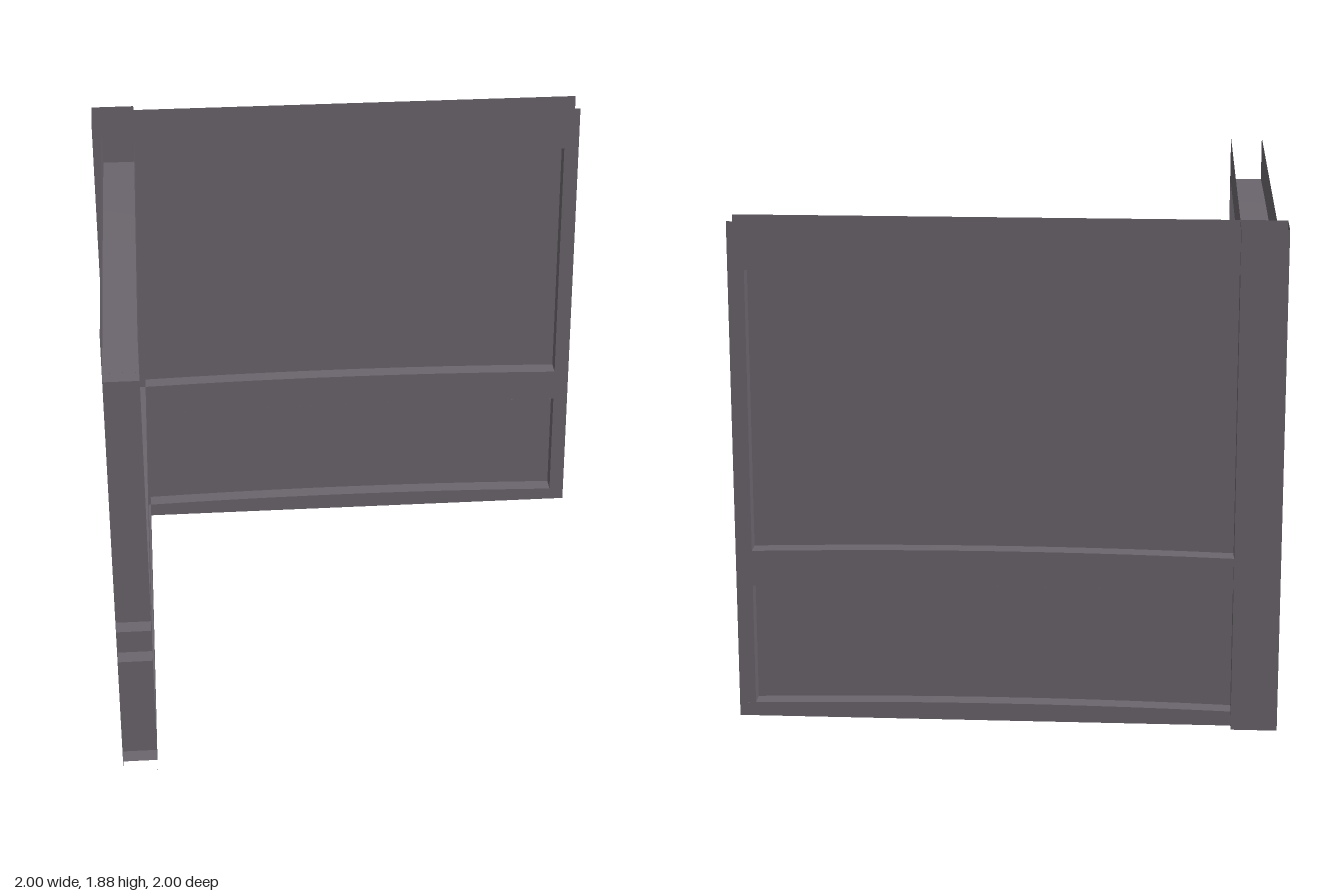
import * as THREE from 'three';

const HEIGHT = 1.88, INNER = -0.83, END = 1, JAMB = 0.94;
const DEPTH = 0.13, MID = -0.895; // wall thickness and mid-plane
const SEGMENTS = 10;

const wallPaint = new THREE.MeshStandardMaterial({ color: 0x6b656d, side: THREE.DoubleSide });

function add(group, name, geometry) {
  const mesh = new THREE.Mesh(geometry, wallPaint);
  mesh.name = name;
  group.add(mesh);
  return mesh;
}

// Slightly arched horizontal edge, highest near the middle of the wall
const arch = (base) => (x) => base + 0.018 * (1 - x * x);
const level = (y) => () => y;
const topEdge = arch(1.702), railTop = arch(0.645), railBottom = arch(0.51), bottomEdge = arch(0.05);

// Flat upright sheet between two edge curves
function band(low, high, x0, x1, z) {
  const g = new THREE.PlaneGeometry(1, 1, SEGMENTS, 1);
  const p = g.attributes.position;
  for (let i = 0; i < p.count; i++) {
    const x = x0 + (p.getX(i) + 0.5) * (x1 - x0);
    p.setXYZ(i, x, p.getY(i) > 0 ? high(x) : low(x), z);
  }
  return g;
}

// Horizontal plate following an edge curve through the wall thickness
function shelf(edge) {
  const g = new THREE.PlaneGeometry(1, DEPTH, SEGMENTS, 1).rotateX(-Math.PI / 2);
  const p = g.attributes.position;
  for (let i = 0; i < p.count; i++) {
    const x = INNER + (p.getX(i) + 0.5) * (END - INNER);
    p.setXYZ(i, x, edge(x), p.getZ(i));
  }
  g.computeVertexNormals();
  return g;
}

// Hollow wall with recessed panels, the same on both faces
function createWall(name) {
  const wall = new THREE.Group();
  wall.name = name;
  add(wall, 'recessedPanel', band(bottomEdge, topEdge, INNER, JAMB, 0));
  for (const side of [-1, 1]) {
    const z = side * DEPTH / 2;
    const sheets = [
      ['topBand', topEdge, level(HEIGHT), INNER, END],
      ['bottomBand', level(0), bottomEdge, INNER, END],
      ['middleRail', railBottom, railTop, INNER, JAMB],
      ['endStile', bottomEdge, topEdge, JAMB, END],
    ];
    for (const [part, low, high, x0, x1] of sheets) {
      const g = band(low, high, x0, x1, z);
      if (side < 0) { // turn the sheet to face outward
        g.index.array.reverse();
        g.computeVertexNormals();
      }
      add(wall, part, g);
    }
  }
  // Ledges of the recesses and the jamb at the free end
  for (const edge of [topEdge, railTop, railBottom, bottomEdge]) add(wall, 'ledge', shelf(edge));
  const jambHeight = topEdge(JAMB) - bottomEdge(JAMB);
  const jamb = add(wall, 'jamb', new THREE.PlaneGeometry(DEPTH, jambHeight).rotateY(-Math.PI / 2));
  jamb.position.set(JAMB, bottomEdge(JAMB) + jambHeight / 2, 0);
  return wall;
}

export function createModel() {
  const model = new THREE.Group();
  model.name = 'cornerWall';

  const backWall = createWall('backWall');
  backWall.position.z = MID;
  const sideWall = createWall('sideWall');
  sideWall.rotation.y = -Math.PI / 2;
  sideWall.position.x = MID;
  model.add(backWall, sideWall);

  // Square corner post, open at both ends
  const width = 1 + INNER;
  const tube = new THREE.CylinderGeometry(width / Math.SQRT2, width / Math.SQRT2, HEIGHT, 4, 1, true, Math.PI / 4)
    .toNonIndexed();
  tube.computeVertexNormals();
  add(model, 'cornerPost', tube).position.set(-1 + width / 2, HEIGHT / 2, -1 + width / 2);

  // Small plate where the ledges meet inside the post
  const joint = INNER - MID;
  add(model, 'jointPlate', new THREE.PlaneGeometry(joint, joint).rotateX(-Math.PI / 2))
    .position.set(MID + joint / 2, 0.055, MID + joint / 2);

  return model;
}
